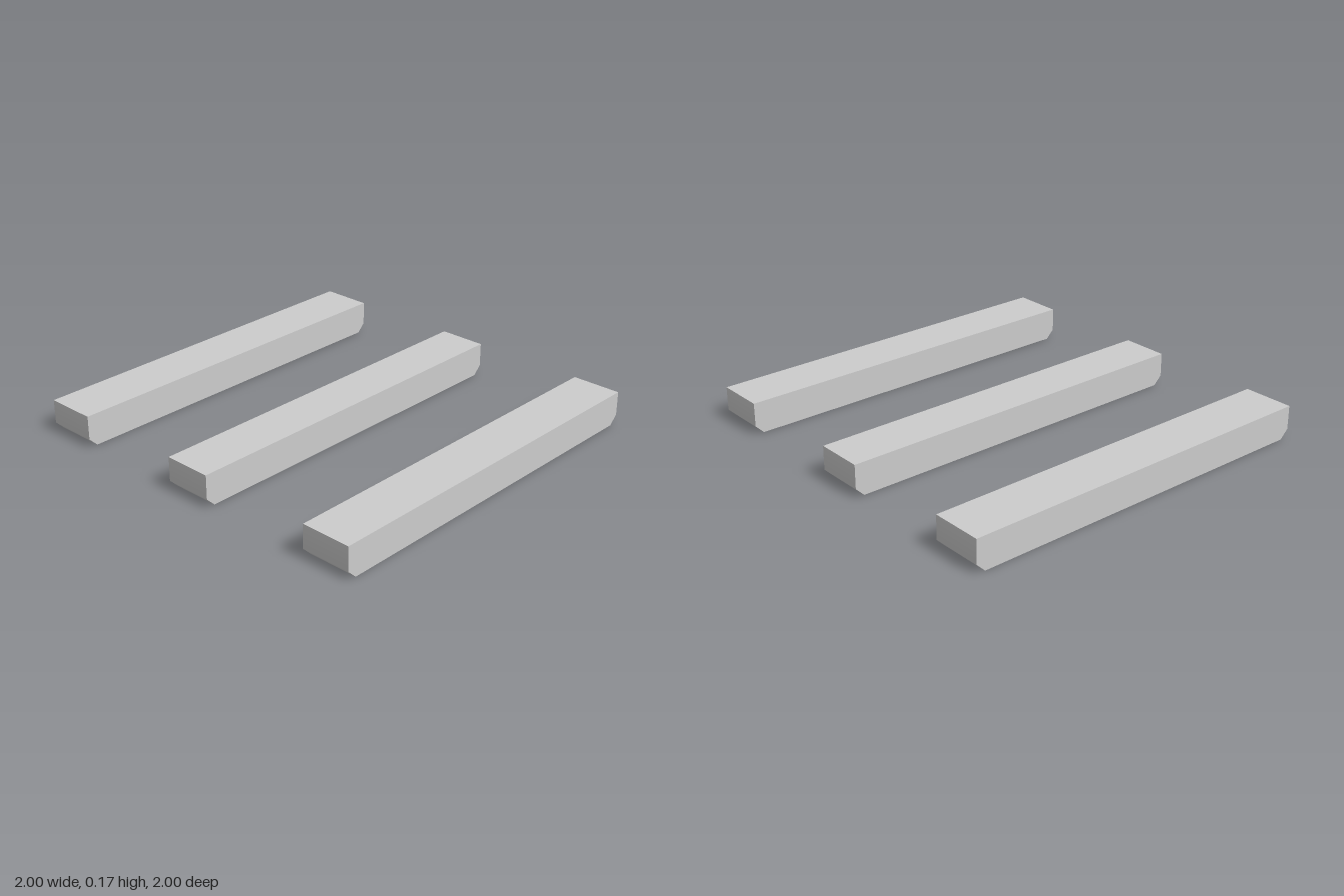
import * as THREE from 'three';

const HEIGHT = 0.17, HALF = 1, CHAMFER = 0.045;

// Bar running along z between two x positions, lower end edges chamfered
function barGeometry(x0, x1) {
  const profile = new THREE.Shape([
    [-HALF + CHAMFER, 0], [HALF - CHAMFER, 0], [HALF, CHAMFER],
    [HALF, HEIGHT], [-HALF, HEIGHT], [-HALF, CHAMFER],
  ].map(([z, y]) => new THREE.Vector2(z, y)));
  const geometry = new THREE.ExtrudeGeometry(profile, { depth: x1 - x0, bevelEnabled: false });
  geometry.rotateY(Math.PI / 2).translate(x0, 0, 0);

  // Blend the shading where each end face meets its chamfer
  const { position, normal } = geometry.attributes;
  const blend = new THREE.Vector2(HEIGHT, -CHAMFER).normalize();
  for (let i = 0; i < position.count; i++) {
    const nz = normal.getZ(i);
    if (Math.abs(nz) > 0.5 && Math.abs(position.getY(i) - CHAMFER) < 1e-4) {
      normal.setXYZ(i, 0, blend.y, Math.sign(nz) * blend.x);
    }
  }
  return geometry;
}

export function createModel() {
  const model = new THREE.Group();
  model.name = 'runners';
  const material = new THREE.MeshStandardMaterial({ color: 0xcccccc });

  // Three parallel runners
  const runners = [
    ['rightRunner', -1, -0.73],
    ['middleRunner', -0.13, 0.125],
    ['leftRunner', 0.737, 1],
  ];
  for (const [name, x0, x1] of runners) {
    const runner = new THREE.Mesh(barGeometry(x0, x1), material);
    runner.name = name;
    model.add(runner);
  }
  return model;
}
